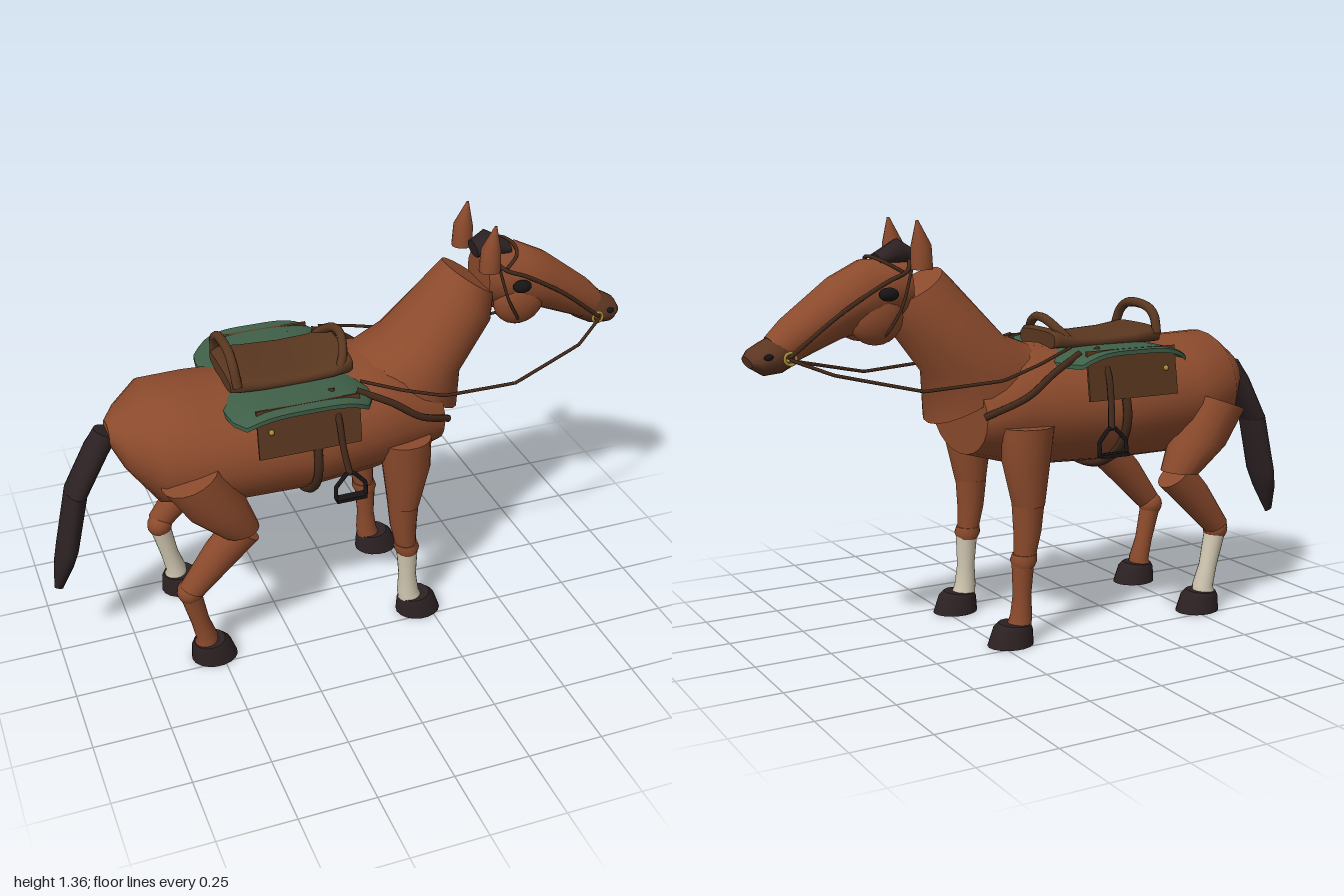
import * as THREE from 'three';

const mat = (name, color, side = THREE.FrontSide) => {
  const m = new THREE.MeshStandardMaterial({ color, side });
  m.name = name;
  return m;
};

// Loft of oval rings. Each station is [px, py, qx, qy, rz]: two opposite edge points in the
// side plane and a half width. Travel runs along (p - q) x z; the ends are capped flat.
function loft(stations, z = 0, sides = 18, power = 1) {
  const pos = [], idx = [];
  const bend = v => Math.sign(v) * Math.abs(v) ** power;
  const ring = ([px, py, qx, qy, rz]) => {
    for (let j = 0; j < sides; j++) {
      const t = (j / sides) * Math.PI * 2, c = bend(Math.cos(t)), s = bend(Math.sin(t));
      pos.push((px + qx) / 2 + c * (px - qx) / 2, (py + qy) / 2 + c * (py - qy) / 2, z + rz * s);
    }
  };
  stations.forEach(ring);
  for (let i = 0; i < stations.length - 1; i++) {
    for (let j = 0; j < sides; j++) {
      const k = (j + 1) % sides, a = i * sides, b = a + sides;
      idx.push(a + j, a + k, b + j, a + k, b + k, b + j);
    }
  }
  [stations[0], stations[stations.length - 1]].forEach((s, end) => {
    const a = pos.length / 3;
    ring(s);
    pos.push((s[0] + s[2]) / 2, (s[1] + s[3]) / 2, z);
    for (let j = 0; j < sides; j++) {
      const k = (j + 1) % sides;
      if (end) idx.push(a + sides, a + j, a + k);
      else idx.push(a + sides, a + k, a + j);
    }
  });
  const g = new THREE.BufferGeometry();
  g.setAttribute('position', new THREE.Float32BufferAttribute(pos, 3));
  g.setIndex(idx);
  g.computeVertexNormals();
  return g;
}

// Round strap through points; straight segments or a smooth curve
function strap(points, r, smooth = true, closed = false) {
  const v = points.map(p => new THREE.Vector3(...p));
  const curve = new THREE.CatmullRomCurve3(v, closed, 'catmullrom', smooth ? 0.5 : 0.02);
  return new THREE.TubeGeometry(curve, points.length * 7, r, 8, closed);
}

export function createModel() {
  const horse = new THREE.Group();
  horse.name = 'saddledHorse';
  const coat = mat('chestnutCoat', 0x8b4a2c);
  const muzzleBrown = mat('muzzleBrown', 0x5c3622);
  const dark = mat('darkHairAndHoof', 0x2c2123);
  const sock = mat('whiteSock', 0xcfc6b0);
  const leather = mat('saddleLeather', 0x5a3720);
  const tack = mat('tackLeather', 0x43291a);
  const green = mat('greenPad', 0x3f5f48, THREE.DoubleSide);
  const gold = mat('brass', 0xa88a3c);
  const black = mat('black', 0x181416);
  const add = (name, geo, m, parent = horse) => {
    const mesh = new THREE.Mesh(geo, m);
    mesh.name = name;
    parent.add(mesh);
    return mesh;
  };

  // Trunk, neck and head
  const trunk = [
    [-0.78, 0.845, 0.775, 0.05], [-0.74, 0.88, 0.69, 0.13], [-0.65, 0.945, 0.565, 0.23],
    [-0.5, 0.94, 0.535, 0.265], [-0.2, 0.92, 0.535, 0.275], [0.05, 0.95, 0.545, 0.255],
    [0.15, 0.95, 0.56, 0.24], [0.29, 0.87, 0.6, 0.2],
  ];
  add('body', loft(trunk.map(([x, t, b, w]) => [x, t, x, b, w]), 0, 24), coat);
  add('neck', loft([
    [0.03, 0.94, 0.4, 0.71, 0.19], [0.15, 0.985, 0.4, 0.86, 0.185],
    [0.32, 1.165, 0.51, 1.0, 0.135], [0.36, 1.205, 0.52, 1.1, 0.11],
  ], 0, 24), coat);
  add('head', loft([
    [0.48, 1.235, 0.48, 1.06, 0.085], [0.62, 1.24, 0.6, 1.02, 0.11], [0.72, 1.19, 0.7, 1.0, 0.105],
    [0.88, 1.07, 0.82, 0.95, 0.075], [0.93, 1.02, 0.87, 0.925, 0.06],
  ], 0, 20), coat);
  add('muzzle', loft([
    [0.9, 1.03, 0.84, 0.935, 0.062], [0.95, 1.005, 0.89, 0.91, 0.075],
    [0.985, 0.985, 0.945, 0.905, 0.07], [0.997, 0.965, 0.985, 0.93, 0.045],
  ]), muzzleBrown);
  add('forelock', loft([
    [0.45, 1.27, 0.46, 1.215, 0.04], [0.5, 1.3, 0.5, 1.215, 0.05], [0.575, 1.255, 0.57, 1.215, 0.045],
  ], 0, 12), dark);

  // Tail in two locks
  add('tailUpper', loft([
    [-0.74, 0.8, -0.82, 0.83, 0.04], [-0.78, 0.75, -0.855, 0.77, 0.06], [-0.86, 0.605, -0.93, 0.625, 0.063],
  ]), dark);
  add('tailLower', loft([
    [-0.86, 0.605, -0.93, 0.625, 0.065], [-0.905, 0.41, -0.975, 0.42, 0.068],
    [-0.925, 0.35, -0.99, 0.35, 0.052], [-0.97, 0.25, -0.998, 0.26, 0.006],
  ]), dark);

  for (const s of [1, -1]) {
    const side = s > 0 ? 'Near' : 'Far';

    // Face details
    add('ear' + side, loft([
      [0.43, 1.21, 0.5, 1.21, 0.034], [0.435, 1.285, 0.498, 1.28, 0.034], [0.475, 1.36, 0.483, 1.36, 0.003],
    ], s * 0.107, 12), coat);
    add('cheek' + side, new THREE.SphereGeometry(1, 18, 12), coat).scale.set(0.09, 0.085, 0.05);
    horse.children.at(-1).position.set(0.6, 1.065, s * 0.06);
    add('eye' + side, new THREE.SphereGeometry(1, 14, 10), black).scale.set(0.032, 0.021, 0.022);
    horse.children.at(-1).position.set(0.58, 1.14, s * 0.118);
    add('nostril' + side, new THREE.SphereGeometry(1, 10, 8), black).scale.set(0.016, 0.01, 0.008);
    horse.children.at(-1).position.set(0.945, 0.967, s * 0.067);

    // Foreleg
    const z = s * 0.2, fore = new THREE.Group();
    fore.name = 'foreleg' + side;
    horse.add(fore);
    add('shoulder', loft([
      [0.235, 0.71, 0.06, 0.71, 0.075], [0.235, 0.6, 0.075, 0.6, 0.073], [0.2, 0.455, 0.095, 0.455, 0.056],
    ], s * 0.203), coat, fore);
    add('forearm', loft([
      [0.2, 0.46, 0.095, 0.46, 0.055], [0.195, 0.37, 0.105, 0.37, 0.047], [0.195, 0.285, 0.125, 0.285, 0.038],
    ], z), coat, fore);
    add('knee', loft([
      [0.2, 0.295, 0.12, 0.295, 0.042], [0.207, 0.275, 0.12, 0.275, 0.046], [0.2, 0.255, 0.13, 0.255, 0.04],
    ], z), coat, fore);
    add('cannon', loft([
      [0.203, 0.265, 0.13, 0.265, 0.037], [0.2, 0.16, 0.14, 0.16, 0.031], [0.21, 0.09, 0.137, 0.09, 0.035],
      [0.222, 0.06, 0.14, 0.06, 0.04],
    ], z), s > 0 ? sock : coat, fore);

    // Hind leg
    const hind = new THREE.Group();
    hind.name = 'hindLeg' + side;
    horse.add(hind);
    add('thigh', loft([
      [-0.485, 0.765, -0.665, 0.7, 0.095], [-0.4, 0.62, -0.59, 0.585, 0.095], [-0.36, 0.51, -0.49, 0.495, 0.062],
    ], s * 0.22), coat, hind);
    add('gaskin', loft([
      [-0.36, 0.455, -0.46, 0.535, 0.06], [-0.43, 0.39, -0.535, 0.45, 0.055], [-0.55, 0.275, -0.625, 0.315, 0.04],
    ], s * 0.21), coat, hind);
    add('hock', new THREE.SphereGeometry(0.043, 14, 10), coat, hind).position.set(-0.593, 0.282, z);
    add('cannon', loft([
      [-0.555, 0.27, -0.625, 0.26, 0.037], [-0.535, 0.16, -0.595, 0.15, 0.031], [-0.51, 0.09, -0.58, 0.08, 0.036],
      [-0.51, 0.06, -0.59, 0.055, 0.04],
    ], z), s > 0 ? coat : sock, hind);

    // Hooves, longer at the toe
    for (const [leg, x] of [[fore, 0.135], [hind, -0.6]]) {
      add('hoof', loft([
        [x + 0.115, 0.072, x + 0.01, 0.065, 0.052], [x + 0.135, 0.055, x + 0.003, 0.05, 0.06],
        [x + 0.155, 0, x, 0, 0.067],
      ], z), dark, leg);
    }

    // Bridle and reins
    add('bridleCheekStrap' + side, strap([
      [0.49, 1.235, s * 0.075], [0.52, 1.205, s * 0.115], [0.6, 1.17, s * 0.12], [0.74, 1.085, s * 0.113], [0.89, 0.965, s * 0.09],
    ], 0.007), tack);
    add('throatStrap' + side, strap([
      [0.5, 1.21, s * 0.11], [0.535, 1.1, s * 0.115], [0.58, 1.02, s * 0.1], [0.6, 0.985, s * 0.05],
    ], 0.005), tack);
    add('bitRing' + side, new THREE.TorusGeometry(0.018, 0.005, 8, 18), gold).position.set(0.887, 0.962, s * 0.09);
    add('rein' + side, strap([
      [0.89, 0.96, s * 0.095], [0.78, 0.915, s * 0.165], [0.52, 0.855, s * 0.23],
      [0.26, 0.87, s * 0.25], [0.12, 0.91, s * 0.235], [-0.01, 0.95, s * 0.2],
    ], 0.0055, false), tack);
    add('breastStrap' + side, strap([
      [-0.03, 0.93, s * 0.22], [0.08, 0.88, s * 0.25], [0.18, 0.81, s * 0.252], [0.3, 0.75, s * 0.2],
    ], 0.012), tack);

    // Saddle flap, stud, stirrup
    const flap = add('saddleFlap' + side, new THREE.BoxGeometry(0.335, 0.16, 0.009), leather);
    flap.position.set(-0.2, 0.862, s * 0.268);
    flap.rotation.x = -s * 0.16;
    add('stud' + side, new THREE.SphereGeometry(0.009, 10, 8), gold).position.set(-0.325, 0.87, s * 0.276);
    add('stirrupLeather' + side, strap([
      [-0.105, 0.94, s * 0.2], [-0.105, 0.87, s * 0.272], [-0.1, 0.78, s * 0.3], [-0.088, 0.7, s * 0.322],
    ], 0.011), tack);
    add('stirrup' + side, strap([
      [-0.1, 0.7, s * 0.325], [-0.075, 0.7, s * 0.325], [-0.038, 0.66, s * 0.33],
      [-0.038, 0.617, s * 0.335], [-0.137, 0.617, s * 0.335], [-0.137, 0.66, s * 0.33],
    ], 0.007, false, true), black);
    add('stirrupTread' + side, new THREE.BoxGeometry(0.1, 0.012, 0.03), black).position.set(-0.088, 0.617, s * 0.335);
  }

  // Bridle bands across the face
  add('browBand', strap([[0.52, 1.2, -0.11], [0.575, 1.235, -0.075], [0.59, 1.247, 0], [0.575, 1.235, 0.075], [0.52, 1.2, 0.11]], 0.006), tack);
  add('bit', strap([[0.89, 0.955, -0.1], [0.89, 0.955, 0.1]], 0.005), gold);

  // Pad: a rounded sheet drooping at its front and back
  const pad = new THREE.BoxGeometry(0.47, 0.014, 0.6, 16, 1, 12);
  const p = pad.attributes.position;
  for (let i = 0; i < p.count; i++) {
    const x = p.getX(i), u = x / 0.235, v = p.getZ(i) / 0.3;
    p.setX(i, x * (1 - 0.16 * v ** 8));
    p.setZ(i, p.getZ(i) * (1 - 0.08 * u ** 6));
    p.setY(i, p.getY(i) + 0.934 - 0.04 * u ** 4);
  }
  pad.translate(-0.205, 0, 0);
  pad.computeVertexNormals();
  add('saddlePad', pad, green);

  // Saddle
  const seat = [[-0.405, 0.975, 0.12], [-0.385, 0.99, 0.135], [-0.3, 0.975, 0.14], [-0.17, 0.968, 0.138], [-0.07, 0.975, 0.135], [-0.015, 0.995, 0.13], [0.0, 0.985, 0.115]];
  add('saddleSeat', loft(seat.map(([x, t, w]) => [x, t, x, 0.93, w]), 0, 24, 0.55), leather);
  add('cantle', strap([
    [-0.385, 0.96, -0.13], [-0.39, 1.02, -0.105], [-0.39, 1.05, -0.05], [-0.39, 1.052, 0.05],
    [-0.39, 1.02, 0.105], [-0.385, 0.96, 0.13],
  ], 0.016), leather);
  add('pommel', strap([
    [-0.045, 0.965, -0.12], [-0.025, 0.995, -0.09], [-0.01, 1.025, -0.03], [-0.01, 1.025, 0.03],
    [-0.025, 0.995, 0.09], [-0.045, 0.965, 0.12],
  ], 0.015), leather);

  // Girth around the barrel
  const loop = Array.from({ length: 16 }, (_, i) => {
    const a = (i / 16) * Math.PI * 2;
    return [-0.175, 0.728 + 0.2 * Math.cos(a), 0.282 * Math.sin(a)];
  });
  add('girth', strap(loop, 0.015, true, true), tack);

  return horse;
}
